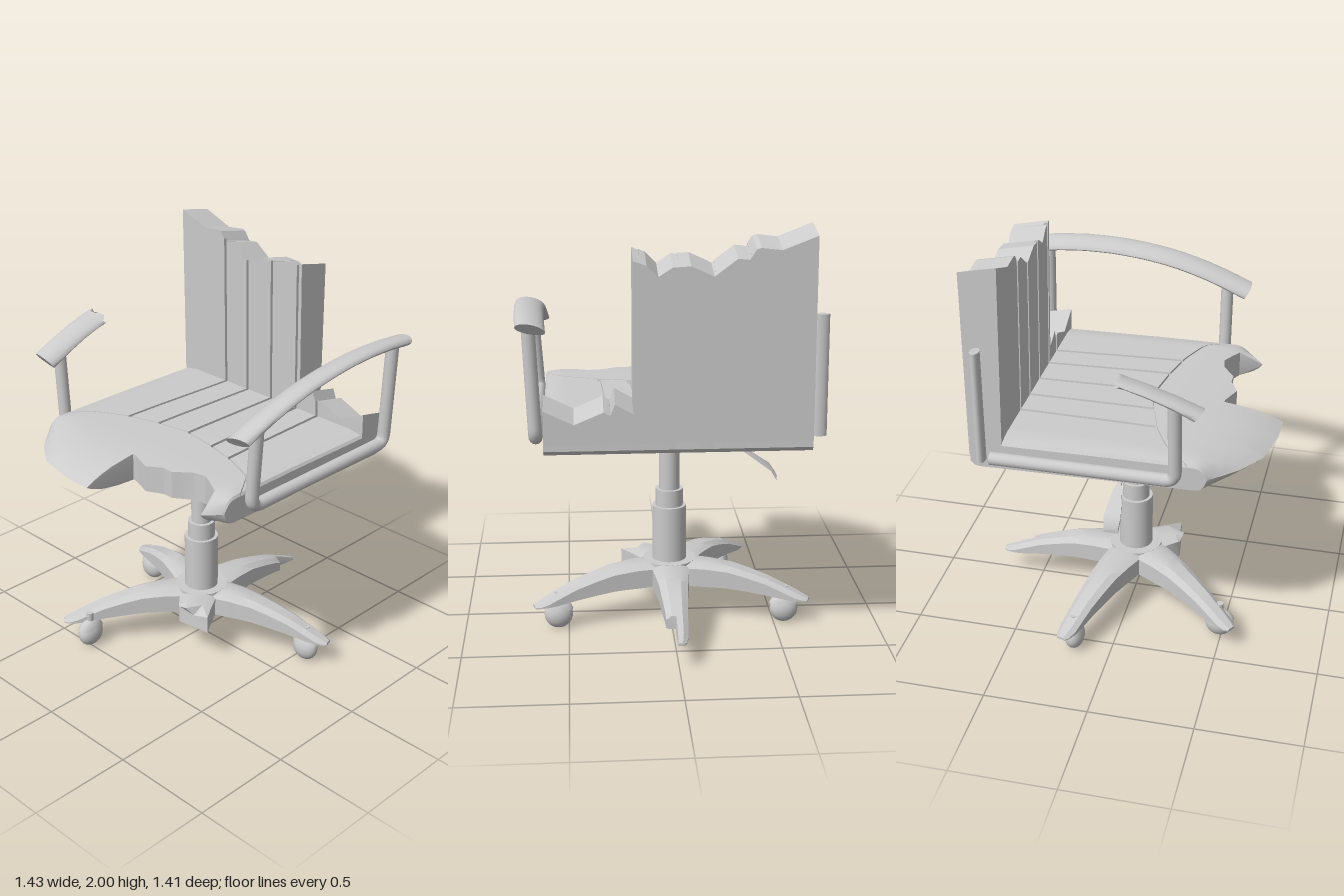
import * as THREE from 'three';
import { toCreasedNormals } from 'three/addons/utils/BufferGeometryUtils.js';

const material = new THREE.MeshStandardMaterial({ color: 0xcccccc });

// Piecewise linear curve through [position, value] pairs
function along(points, t) {
  if (t <= points[0][0]) return points[0][1];
  for (let i = 1; i < points.length; i++) {
    const [a, va] = points[i - 1], [b, vb] = points[i];
    if (t <= b) return va + (vb - va) * (t - a) / Math.max(b - a, 1e-9);
  }
  return points[points.length - 1][1];
}

// Closed solid skinned over equal-length rings of [x, y, z], always facing outwards
function loft(rings, crease = 0.6) {
  const n = rings[0].length, pos = rings.flat(2), index = [];
  rings.slice(1).forEach((_, r) => {
    for (let i = 0; i < n; i++) {
      const a = r * n + i, b = r * n + (i + 1) % n;
      index.push(a, b, a + n, b, b + n, a + n);
    }
  });
  [0, rings.length - 1].forEach((r, end) => {
    const c = pos.length / 3;
    for (let k = 0; k < 3; k++) pos.push(rings[r].reduce((s, p) => s + p[k], 0) / n);
    for (let i = 0; i < n; i++) {
      const a = r * n + i, b = r * n + (i + 1) % n;
      index.push(...(end ? [a, b, c] : [b, a, c]));
    }
  });
  const at = i => new THREE.Vector3().fromArray(pos, i * 3);
  let volume = 0;
  for (let i = 0; i < index.length; i += 3) volume += at(index[i]).dot(at(index[i + 1]).cross(at(index[i + 2])));
  if (volume < 0) index.reverse();
  const g = new THREE.BufferGeometry();
  g.setAttribute('position', new THREE.Float32BufferAttribute(pos, 3));
  g.setIndex(index);
  return toCreasedNormals(g, crease);
}

function add(parent, name, geometry, x = 0, y = 0, z = 0) {
  const mesh = new THREE.Mesh(geometry, material);
  mesh.name = name;
  mesh.position.set(x, y, z);
  parent.add(mesh);
  return mesh;
}

const grooves = [-0.3, -0.15, 0.01, 0.175, 0.31];
const inGroove = x => grooves.some(g => Math.abs(x - g) < 0.0075);
const grooveEdges = grooves.flatMap(g => [g - 0.008, g - 0.007, g + 0.007, g + 0.008]);

// Cushion: grooved rear panels, a seam, and a rounded nose with a piece broken out
function seat() {
  const seam = [[-0.595, 0.37], [-0.45, 0.25], [-0.3, 0.175], [-0.16, 0.13], [0, 0.1], [0.17, 0.13], [0.33, 0.17], [0.5, 0.24], [0.595, 0.36]];
  const nose = [[0, 0.715], [0.15, 0.71], [0.33, 0.67], [0.46, 0.58], [0.595, 0.455]];
  const broken = [[0, 0.43], [0.1, 0.47], [0.17, 0.43], [0.22, 0.43], [0.3, 0.37], [0.36, 0.36], [0.48, 0.42], [0.51, 0.56]];
  const xs = [-0.595, -0.585, -0.56, -0.52, -0.46, -0.4, -0.33, -0.24, -0.08, -0.016, -0.014, 0.1, 0.17, 0.22, 0.3, 0.36, 0.42, 0.48, 0.51, 0.54, 0.585, 0.595, ...grooveEdges].sort((a, b) => a - b);
  const rings = xs.map(x => {
    const S = along(seam, x), F = along(nose, Math.abs(x));
    const limit = x > -0.015 && x < 0.51 ? along(broken, x) : 9;
    const rim = along([[0.52, 0], [0.585, 0.012], [0.595, 0.025]], Math.abs(x));
    const point = (z, upper, sunk = 0) => {
      z = Math.min(z, limit);
      const f = Math.max(0, (z - S) / (F - S));
      const y = upper
        ? 1.08 + (0.078 - rim) * (1 - f ** 4) - 0.012 * Math.max(0, -z) - sunk
        : 1.08 - 0.062 * (1 - f ** 6) - 0.014 * Math.max(0, S - z);
      const fan = 0.11 * x * (1 - (x / 0.595) ** 2) * (Math.min(z, S) + 0.48) / 0.65;
      return [x + fan, y, z];
    };
    const sunk = inGroove(x) ? 0.015 : 0;
    const ring = [-0.635, -0.45, -0.2, 0, S - 0.009].map(z => point(z, true, sunk));
    ring.push(point(S - 0.008, true, 0.012), point(S - 0.001, true, 0.012));
    [0, 0.15, 0.3, 0.45, 0.6, 0.75, 0.87, 0.95, 1].forEach(f => ring.push(point(S + f * (F - S), true)));
    [0.97, 0.92, 0.84, 0.7, 0.4, 0].forEach(f => ring.push(point(S + f * (F - S), false)));
    ring.push(point(-0.59, false), [x, 1.01, -0.62], [x, 1.03, -0.637]);
    return ring;
  });
  return loft(rings, 0.5);
}

// Backrest slab: ragged top, and almost wholly missing on one side
function backrest() {
  const top = [[-0.595, 2], [-0.44, 1.94], [-0.35, 1.95], [-0.33, 1.945], [-0.3, 1.9], [-0.25, 1.905], [-0.15, 1.83],
    [-0.05, 1.875], [0.03, 1.87], [0.09, 1.83], [0.14, 1.88], [0.198, 1.9], [0.2, 1.23], [0.28, 1.275], [0.3, 1.225],
    [0.33, 1.24], [0.46, 1.185], [0.595, 1.25]];
  const xs = [...top.map(p => p[0]), ...grooveEdges].sort((a, b) => a - b);
  return loft(xs.map(x => {
    const y = along(top, x), sunk = inGroove(x) ? 0.014 : 0;
    const front = h => -0.485 + 0.02 * (h - 1.1) / 0.9 - sunk;
    return [[x, 1.06, front(1.06)], [x, y, front(y)], [x, y - 0.035, -0.64], [x, 1.06, -0.64]];
  }), 0.3);
}

// Arm pad: domed section swept along a bowed line; ragged makes a broken rear end
function armPad(side, zBack, ragged) {
  const height = [[-0.7, 1.61], [-0.55, 1.627], [-0.4, 1.634], [-0.25, 1.63], [-0.1, 1.615], [0.05, 1.59], [0.2, 1.55], [0.33, 1.505], [0.445, 1.458]];
  const rings = [];
  for (let i = 0; i <= 16; i++) {
    const t = i / 16, z = zBack + (0.445 - zBack) * t;
    const cx = 0.638 + 0.015 * (1 - ((z + 0.13) / 0.58) ** 2), ring = [];
    for (let k = 0; k < 20; k++) {
      const a = k / 20 * Math.PI * 2, s = Math.sin(a);
      const below = 0.03 - s * (s > 0 ? 0.03 : 0.02);
      let dz = -(t - 0.5) * 1.6 * below;
      if (ragged && i === 0) dz = 0.03 * Math.abs((k % 5) - 2) / 2;
      ring.push([side * (cx + 0.065 * Math.cos(a)), along(height, z) - below + 0.012 * Math.cos(a), z + dz]);
    }
    rings.push(ring);
  }
  return loft(rings, 0.7);
}

// Arm frame: straight runs joined by tight bends
function armFrame(points, radius = 0.031) {
  const v = points.map(p => new THREE.Vector3(...p)), path = new THREE.CurvePath();
  let from = v[0];
  for (let i = 1; i < v.length - 1; i++) {
    const a = v[i].clone().add(v[i - 1].clone().sub(v[i]).setLength(0.05));
    const b = v[i].clone().add(v[i + 1].clone().sub(v[i]).setLength(0.05));
    path.add(new THREE.LineCurve3(from, a));
    path.add(new THREE.QuadraticBezierCurve3(a, v[i], b));
    from = b;
  }
  path.add(new THREE.LineCurve3(from, v[v.length - 1]));
  return new THREE.TubeGeometry(path, 90, radius, 14);
}

// One foot of the star base, running along +z out to radius end
function foot(end, notched) {
  const top = [[0, 0.285], [0.2, 0.284], [0.31, 0.274], [0.4, 0.252], [0.5, 0.222], [0.6, 0.18], [0.7, 0.135]];
  const bottom = [[0, 0.175], [0.3, 0.172], [0.45, 0.155], [0.6, 0.13], [0.7, 0.122]];
  const width = [[0, 0.1], [0.12, 0.09], [0.3, 0.07], [0.5, 0.053], [0.64, 0.045], [0.68, 0.035], [0.7, 0.022]];
  const stations = [0, 0.12, 0.2, 0.25, 0.31, 0.4, 0.5, 0.545, 0.55, 0.6, 0.64, 0.68, 0.7].filter(r => r <= end);
  return loft(stations.map(r => {
    const y = along(top, r), b = along(bottom, r), w = along(width, r);
    const e = Math.max(b + 0.006, y - 0.02), l = notched && r > 0.547 ? 0.008 : w;
    const skew = end < 0.5 && r === end ? 0.04 : 0;
    return [[-l, b, r - skew], [-l, e, r - skew], [-l * 0.5, y, r], [w * 0.5, y, r - skew], [w, e, r + skew], [w, b, r + skew]];
  }), 0.5);
}

export function createModel() {
  const model = new THREE.Group();
  model.name = 'brokenOfficeChair';
  add(model, 'seat', seat());
  add(model, 'backrest', backrest());

  // Whole left arm, and right arm with its rear half missing
  add(model, 'leftArmPad', armPad(1, -0.7, false));
  add(model, 'leftArmFrame', armFrame([[0.655, 1.47, 0.32], [0.628, 1.077, 0.32], [0.628, 1.077, -0.605], [0.65, 1.6, -0.605]]));
  add(model, 'rightArmPad', armPad(-1, 0.06, true));
  add(model, 'rightArmFrame', armFrame([[-0.655, 1.47, 0.32], [-0.628, 1.077, 0.32], [-0.628, 1.077, -0.53]]));
  add(model, 'rightArmRearPost', new THREE.CylinderGeometry(0.034, 0.034, 0.55, 16), -0.63, 1.34, -0.572).scale.z = 0.65;

  // Gas lift column
  [[0.083, 0.2, 0.56], [0.067, 0.56, 0.645], [0.05, 0.645, 0.85], [0.035, 0.85, 1.02]].forEach(([r, a, b], i) =>
    add(model, 'columnStage' + (i + 1), new THREE.CylinderGeometry(r, r, b - a, 32), 0, (a + b) / 2));

  // Height lever with a flattened paddle
  const lever = [[0, 0.945, 0.008, 0.01], [-0.36, 0.835, 0.008, 0.01], [-0.38, 0.822, 0.009, 0.02], [-0.46, 0.765, 0.009, 0.035], [-0.495, 0.74, 0.01, 0.04], [-0.525, 0.692, 0.012, 0.035]];
  add(model, 'heightLever', loft(lever.map(([x, y, h, w]) => [[x, y - h, -w], [x, y + h, -w], [x, y + h, w], [x, y - h, w]])));

  // Star base: one foot snapped short, the rear one notched
  const base = new THREE.Group();
  base.name = 'starBase';
  model.add(base);
  for (let i = 0; i < 5; i++) {
    const mesh = add(base, 'foot' + (i + 1), foot(i === 2 ? 0.25 : 0.7, i === 0));
    mesh.rotation.y = Math.PI - i * Math.PI * 0.4;
    if (i === 2 || i === 3) mesh.rotation.y = i === 2 ? Math.PI / 5 : -Math.PI / 5;
  }
  add(base, 'hub', new THREE.CylinderGeometry(0.13, 0.13, 0.108, 20), 0, 0.231);
  add(base, 'hubPlug', new THREE.CylinderGeometry(0.072, 0.045, 0.055, 8), 0, 0.15);

  // Remaining casters, each a flattened ball under a hood
  [[-0.55, -0.18, 0], [0.55, -0.18, 0], [-0.3, 0.49, Math.PI / 2]].forEach(([x, z, turn], i) => {
    const caster = new THREE.Group();
    caster.name = 'caster' + (i + 1);
    caster.position.set(x, 0.072, z);
    caster.rotation.y = turn;
    base.add(caster);
    add(caster, 'wheel', new THREE.SphereGeometry(0.069, 24, 16)).scale.z = 0.7;
    const hood = add(caster, 'hood', new THREE.SphereGeometry(0.077, 24, 8, 0, Math.PI * 2, 0, 1.2));
    hood.scale.z = 0.6;
    hood.material = material.clone();
    hood.material.side = THREE.DoubleSide;
    add(caster, 'stem', new THREE.CylinderGeometry(0.018, 0.018, 0.06, 12), 0, 0.085, 0);
  });
  return model;
}
